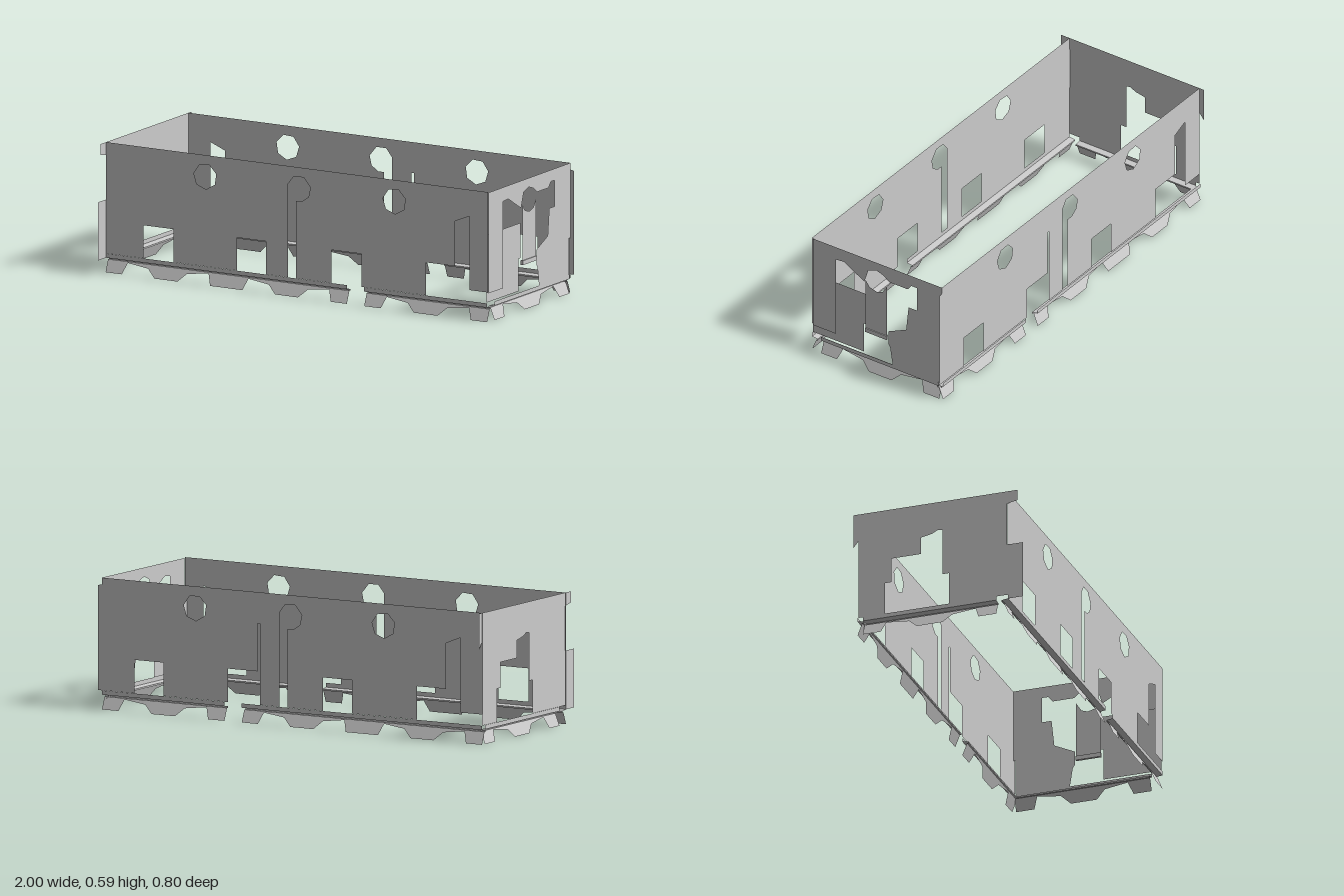
import * as THREE from 'three';

const material = new THREE.MeshStandardMaterial({ color: 0xcccccc, side: THREE.DoubleSide, flatShading: true });
const TOP = 0.59, BASE = 0.085;

// Thin sheet in the XY plane with optional holes
function sheet(name, outline, holes = []) {
  const toPts = (list) => list.map(([x, y]) => new THREE.Vector2(x, y));
  const shape = new THREE.Shape(toPts(outline));
  holes.forEach((h) => shape.holes.push(new THREE.Path(toPts(h))));
  const mesh = new THREE.Mesh(new THREE.ShapeGeometry(shape), material);
  mesh.name = name;
  return mesh;
}

// Sheet drawn in (z, y), standing at a given x
function endSheet(name, x, outline, holes) {
  const mesh = sheet(name, outline.map(([z, y]) => [-z, y]), holes);
  mesh.rotation.y = Math.PI / 2;
  mesh.position.x = x;
  return mesh;
}

// Seven-sided porthole
function porthole(cx) {
  return Array.from({ length: 7 }, (_, i) => {
    const a = (i / 7) * Math.PI * 2 + 0.3;
    return [cx + 0.06 * Math.cos(a), 0.493 + 0.058 * Math.sin(a)];
  });
}

const notch = (a, b) => [[a, BASE], [a, 0.235], [b, 0.235], [b, BASE]];
// Slot that runs up into the middle porthole
const keyhole = [
  [-0.055, BASE], [-0.055, 0.51], [-0.025, 0.547], [0.025, 0.547], [0.06, 0.505],
  [0.05, 0.46], [0.015, 0.437], [-0.015, 0.437], [-0.015, BASE],
];
// Last window, with a tall slit and an undercut corner
const cornerCut = [
  [0.66, BASE], [0.66, 0.235], [0.81, 0.235], [0.81, 0.44], [0.885, 0.47], [0.885, 0.135],
];

// Moulded skirting with trapezoid feet, running along +x and facing +z
function skirting(name, length) {
  const s = length / 0.635;
  const along = [
    [0, 0], [0.085, 0], [0.105, 0.05], [0.215, 0.037], [0.257, 0],
    [0.378, 0], [0.42, 0.037], [0.53, 0.05], [0.55, 0], [0.635, 0],
  ];
  const pos = [], idx = [];
  along.forEach(([u, low]) => {
    const lowInset = 0.022 * (low / 0.055);
    const section = [[BASE, 0], [0.066, 0], [0.062, 0.03], [0.055, 0.03], [0.055, 0.022], [low, lowInset]];
    section.forEach(([y, inset]) => pos.push(u * s, y, -inset));
  });
  const rows = 6;
  for (let i = 0; i < along.length - 1; i++) {
    for (let j = 0; j < rows - 1; j++) {
      const a = i * rows + j, b = a + rows;
      idx.push(a, a + 1, b, b, a + 1, b + 1);
    }
  }
  const geo = new THREE.BufferGeometry();
  geo.setAttribute('position', new THREE.Float32BufferAttribute(pos, 3));
  geo.setIndex(idx);
  geo.computeVertexNormals();
  const mesh = new THREE.Mesh(geo, material);
  mesh.name = name;
  return mesh;
}

export function createModel() {
  const model = new THREE.Group();
  model.name = 'wallShell';

  // Long front wall
  const front = sheet('frontWall', [
    [-1, TOP], [-1, BASE],
    ...notch(-0.805, -0.65), ...notch(-0.32, -0.17), ...keyhole, ...notch(0.17, 0.325),
    ...cornerCut, [0.98, 0.135], [0.98, TOP],
  ], [porthole(-0.485), porthole(0.495)]);
  front.position.z = 0.328;
  model.add(front);

  // Long back wall, drawn facing backwards (its x runs the other way)
  const back = sheet('backWall', [
    [-0.98, TOP], [-0.98, 0.56], [-1, 0.555], [-1, BASE],
    ...notch(-0.81, -0.66),
    [-0.325, BASE], [-0.325, 0.235], [-0.17, 0.235], [-0.17, 0.45], [-0.158, 0.45], [-0.158, BASE],
    ...keyhole, ...notch(0.17, 0.32),
    ...cornerCut, [1, 0.135], [1, TOP],
  ], [porthole(-0.495), porthole(0.485)]);
  back.rotation.y = Math.PI;
  back.position.z = -0.376;
  model.add(back);

  // End wall at -x with projecting tabs and a doorway
  model.add(endSheet('rightEndWall', -0.998, [
    [0.375, TOP], [0.375, 0.54], [0.325, 0.53], [0.325, 0.33], [0.4, 0.33], [0.4, 0.066],
    [0.33, 0.066], [0.33, BASE], [0.05, BASE], [0.05, 0.235], [0.02, 0.235], [0.02, 0.45],
    [0, 0.455], [-0.03, 0.44], [-0.08, 0.43], [-0.08, 0.35], [-0.22, 0.35], [-0.22, 0.235], [-0.25, 0.235],
    [-0.25, BASE], [-0.376, BASE], [-0.376, 0.46], [-0.4, 0.43], [-0.4, TOP],
  ]));

  // End wall at +x with a large broken opening
  model.add(endSheet('leftEndWall', 0.98, [
    [0.322, 0.587], [0.322, 0.13], [0.198, 0.13], [0.198, 0.523], [0.155, 0.527],
    [0.045, 0.464], [0.038, 0.485], [0.023, 0.532], [-0.02, 0.548], [-0.06, 0.535], [-0.09, 0.512],
    [-0.19, 0.512], [-0.21, 0.537], [-0.24, 0.537], [-0.24, 0.418], [-0.195, 0.418],
    [-0.182, 0.295], [-0.085, 0.25], [-0.085, 0.185], [-0.095, 0.17], [-0.11, 0.075],
    [-0.318, 0.075], [-0.365, 0.085], [-0.365, 0.25], [-0.376, 0.25], [-0.376, TOP],
  ]));

  // Low panel and scooped door leaf in that opening
  model.add(endSheet('lowPanel', 0.972, [
    [0.328, 0.395], [0.328, 0.088], [0.052, 0.088], [0.052, 0.235], [0.038, 0.235], [0.038, 0.395],
  ]));
  model.add(endSheet('doorLeaf', 0.982, [
    [0.038, 0.48], [0.038, 0.205], [-0.08, 0.205], [-0.08, 0.485],
    [-0.055, 0.447], [-0.025, 0.437], [0.015, 0.448],
  ]));
  const sill = new THREE.Mesh(new THREE.BoxGeometry(0.012, 0.02, 0.118), material);
  sill.name = 'doorSill';
  sill.position.set(0.98, 0.215, -0.021);
  model.add(sill);

  // Skirting: three lengths on each long side, with a gap before the last
  [[-1, -0.375], [-0.375, 0.25], [0.34, 0.977]].forEach(([a, b]) => {
    const f = skirting('frontSkirting', b - a);
    f.position.set(a, 0, 0.33);
    const r = skirting('backSkirting', b - a);
    r.rotation.y = Math.PI;
    r.position.set(b, 0, -0.38);
    model.add(f, r);
  });

  // Skirting on the two ends
  const plus = skirting('leftEndSkirting', 0.64);
  plus.rotation.y = Math.PI / 2;
  plus.position.set(0.983, 0, 0.277);
  const minus = skirting('rightEndSkirting', 0.63);
  minus.rotation.y = -Math.PI / 2;
  minus.position.set(-1, 0, -0.355);
  model.add(plus, minus);

  return model;
}
